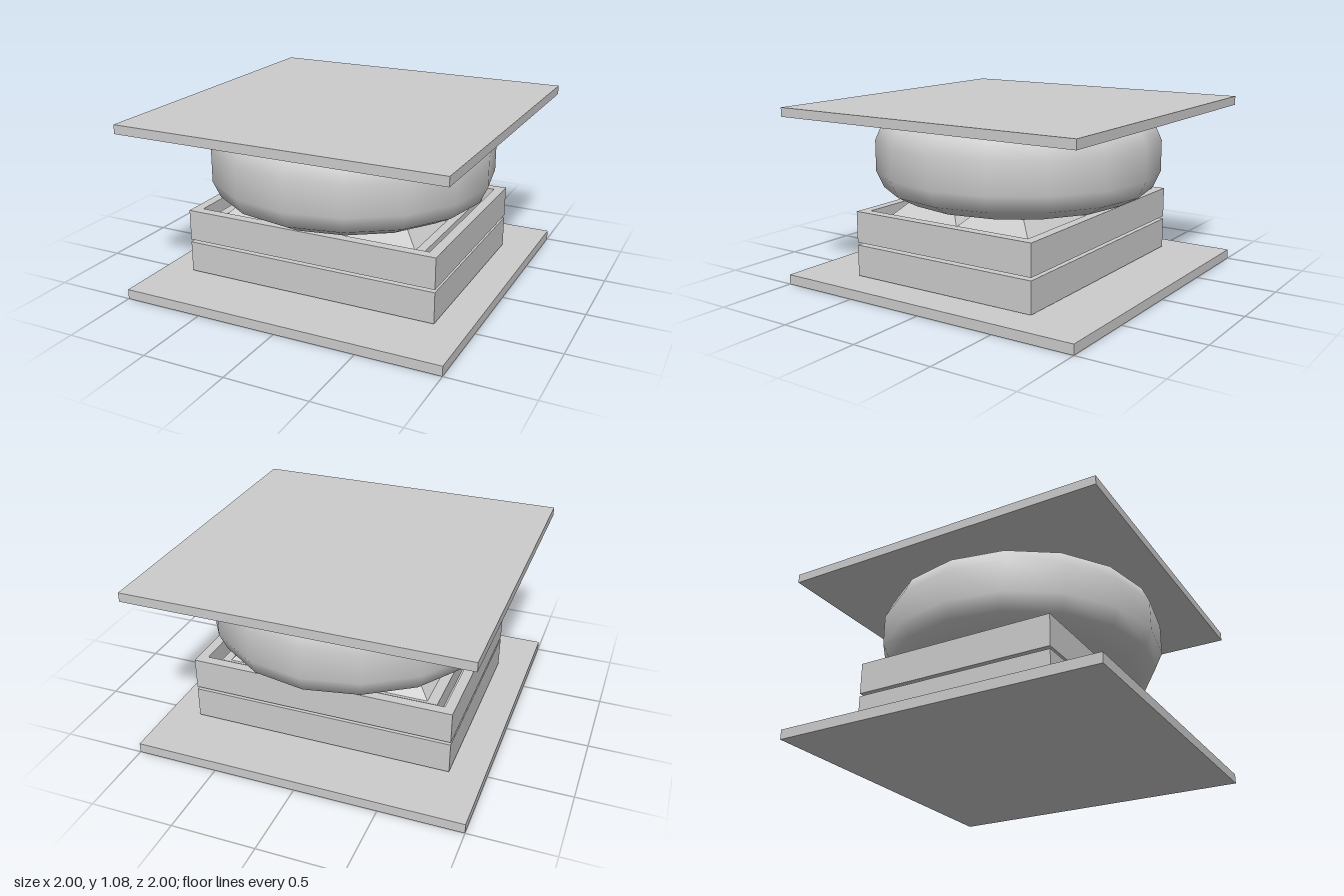
import * as THREE from 'three';

const material = new THREE.MeshStandardMaterial({ color: 0xcccccc });

function add(parent, name, geometry, x = 0, y = 0, z = 0) {
  const mesh = new THREE.Mesh(geometry, material);
  mesh.name = name;
  mesh.position.set(x, y, z);
  parent.add(mesh);
  return mesh;
}

// Box given by its bottom and top heights
function slab(parent, name, w, d, y0, y1, x = 0, z = 0) {
  return add(parent, name, new THREE.BoxGeometry(w, y1 - y0, d), x, (y0 + y1) / 2, z);
}

// Block whose top face is drawn in by a fixed inset on every side
function frustum(w, h, d, inset) {
  const g = new THREE.BoxGeometry(w, h, d);
  const p = g.attributes.position;
  for (let i = 0; i < p.count; i++) {
    if (p.getY(i) > 0) {
      p.setX(i, p.getX(i) - Math.sign(p.getX(i)) * inset);
      p.setZ(i, p.getZ(i) - Math.sign(p.getZ(i)) * inset);
    }
  }
  g.computeVertexNormals();
  return g;
}

// Rectangular tray: walls, floor, inner block and four bevelled pads
function tray(name, base) {
  const g = new THREE.Group();
  g.name = name;
  const w = 1.6, d = 1.235, h = 0.19, t = 0.06;
  const rect = (Type, a, b) => new Type([
    new THREE.Vector2(-a, -b), new THREE.Vector2(a, -b),
    new THREE.Vector2(a, b), new THREE.Vector2(-a, b),
  ]);
  const outline = rect(THREE.Shape, w / 2, d / 2);
  outline.holes.push(rect(THREE.Path, w / 2 - t, d / 2 - t));
  const walls = new THREE.ExtrudeGeometry(outline, { depth: h, bevelEnabled: false });
  walls.rotateX(-Math.PI / 2);
  add(g, 'trayWalls', walls);
  slab(g, 'trayFloor', w - 2 * t, d - 2 * t, 0, 0.04);
  slab(g, 'innerBlock', 1.36, 1.0, 0.04, 0.15);
  for (const sx of [-1, 1]) {
    for (const sz of [-1, 1]) {
      add(g, 'pad', frustum(0.62, 0.085, 0.49, 0.085), sx * 0.315 + 0.005, 0.19, sz * 0.245 + 0.005);
    }
  }
  g.position.y = base;
  return g;
}

export function createModel() {
  const model = new THREE.Group();
  model.name = 'cushionStack';

  slab(model, 'basePlate', 2, 2, 0, 0.06);
  slab(model, 'topPlate', 2, 2, 1.025, 1.08);
  model.add(tray('lowerTray', 0.07), tray('upperTray', 0.277));

  // Plump round cushion; its crown sinks into the top plate
  const profile = [
    [0, 0.487], [0.26, 0.489], [0.55, 0.5], [0.71, 0.515], [0.83, 0.58], [0.875, 0.68],
    [0.875, 0.87], [0.83, 0.97], [0.71, 1.027], [0.55, 1.05], [0, 1.06],
  ].map(([r, y]) => new THREE.Vector2(r, y));
  add(model, 'cushion', new THREE.LatheGeometry(profile, 16));

  return model;
}
